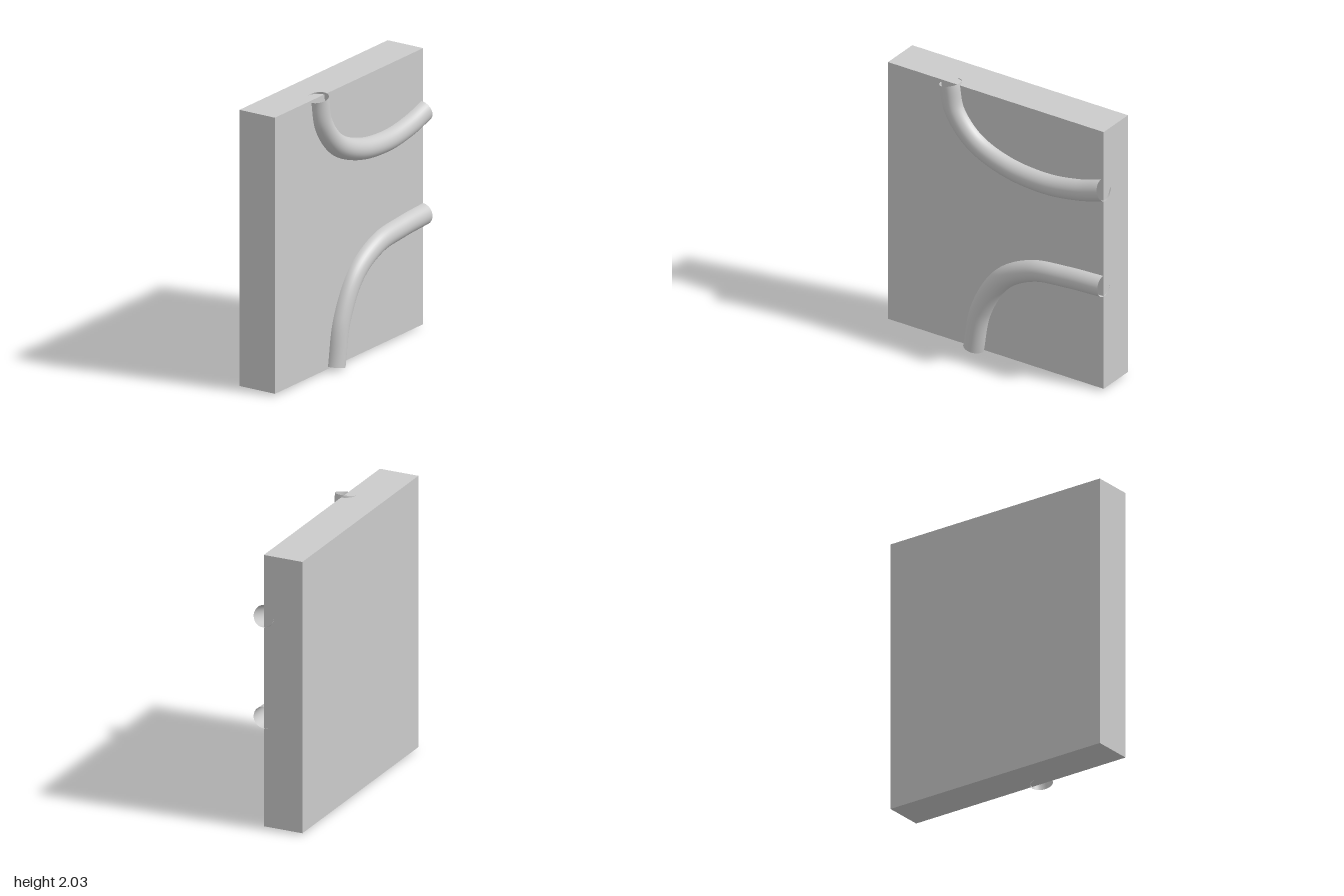
import * as THREE from 'three';

const FACE_X = 0.107; // outer face of the slab, where the pipes are half sunk
const RADIUS = 0.078;

// Open-ended pipe along a smooth path of [z, y] points on the slab's face
function pipe(name, points, material) {
  const path = new THREE.CatmullRomCurve3(
    points.map(([z, y]) => new THREE.Vector3(FACE_X, y, z)), false, 'centripetal');
  const mesh = new THREE.Mesh(new THREE.TubeGeometry(path, 64, RADIUS, 32, false), material);
  mesh.name = name;
  return mesh;
}

export function createModel() {
  const model = new THREE.Group();
  model.name = 'wallPanelWithPipes';
  const slabMaterial = new THREE.MeshStandardMaterial({ color: 0xcccccc });
  const pipeMaterial = new THREE.MeshStandardMaterial({ color: 0xcccccc, side: THREE.DoubleSide });

  // Upright slab
  const slab = new THREE.Mesh(new THREE.BoxGeometry(0.295, 2, 1.79), slabMaterial);
  slab.name = 'slab';
  slab.position.set(FACE_X - 0.1475, 1, 0);
  model.add(slab);

  // Upper pipe: drops from the top edge and sweeps to the back edge
  model.add(pipe('upperPipe', [
    [0.378, 2], [0.335, 1.805], [0.17, 1.61], [-0.1, 1.494],
    [-0.43, 1.46], [-0.7, 1.494], [-0.893, 1.548],
  ], pipeMaterial));

  // Lower pipe: rises from the bottom edge and bends to the back edge
  model.add(pipe('lowerPipe', [
    [0.178, 0], [0.115, 0.32], [-0.055, 0.6], [-0.31, 0.745],
    [-0.6, 0.785], [-0.895, 0.801],
  ], pipeMaterial));

  // Centre the whole depth of slab and pipes on x = 0
  model.children.forEach((part) => { part.position.x += 0.0035; });
  return model;
}
